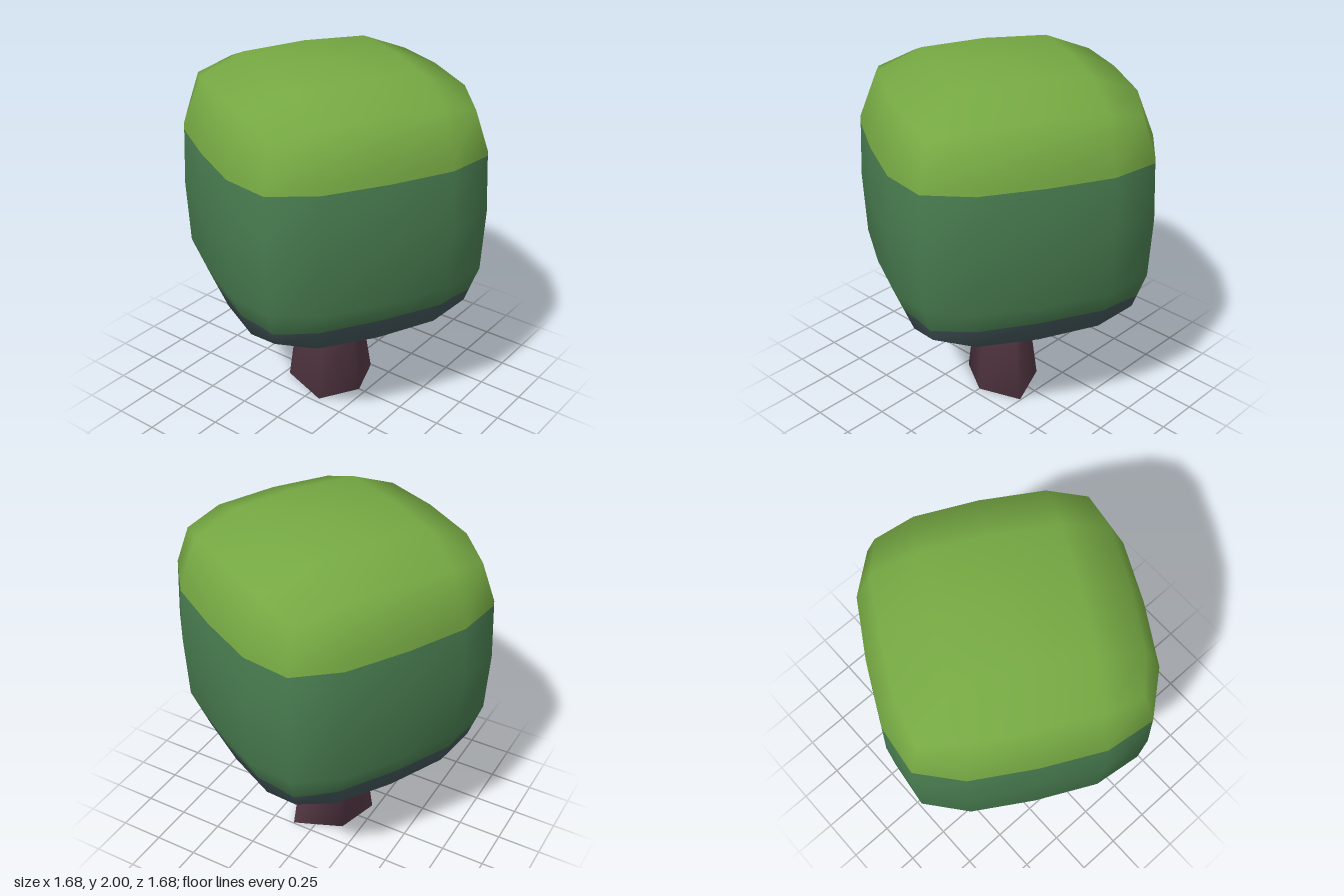
import * as THREE from 'three';
import { mergeVertices } from 'three/addons/utils/BufferGeometryUtils.js';

const lime = new THREE.MeshStandardMaterial({ name: 'lime leaves', color: 0x76a943 });
const green = new THREE.MeshStandardMaterial({ name: 'green leaves', color: 0x477a4e });
const slate = new THREE.MeshStandardMaterial({ name: 'shaded leaves', color: 0x43565a });
const bark = new THREE.MeshStandardMaterial({ name: 'bark', color: 0x573946 });

// Softly rounded cube with 4 x 4 faces per side, turned about the trunk
function crownGeometry() {
  let geo = new THREE.BoxGeometry(2, 2, 2, 4, 4, 4);
  geo.deleteAttribute('normal');
  geo.deleteAttribute('uv');
  geo = mergeVertices(geo);
  const pos = geo.attributes.position;
  for (let i = 0; i < pos.count; i++) {
    const p = [pos.getX(i), pos.getY(i), pos.getZ(i)];
    const outer = p.filter(c => Math.abs(c) > 0.9).length;
    const half = p.filter(c => Math.abs(Math.abs(c) - 0.5) < 0.1).length;
    const full = [0, 0.734 - 0.0145 * half, 0.618 - 0.012 * half, 0.553][outer];
    const mid = outer === 1 ? 0.367 - 0.007 * half : 0.34;
    const q = p.map(c => Math.sign(c) * (Math.abs(c) > 0.9 ? full : Math.abs(c) > 0.1 ? mid : 0));
    pos.setXYZ(i, q[0], Math.max(q[1], -0.71), q[2]); // flat underside
  }
  geo.rotateY(-29.2 * Math.PI / 180);
  geo.translate(0, 1.266, 0);
  geo.computeVertexNormals();
  return geo;
}

// Keep the side of a polygon where sign * (y - level) >= 0
function clip(poly, level, sign) {
  const out = [];
  poly.forEach((a, i) => {
    const b = poly[(i + 1) % poly.length];
    const da = sign * (a[1] - level), db = sign * (b[1] - level);
    if (da >= 0) out.push(a);
    if (da * db < 0) out.push(a.map((v, k) => v + (b[k] - v) * da / (da - db)));
  });
  return out;
}

// Horizontal slice of the crown, keeping its smooth normals
function band(geo, low, high) {
  const { position: p, normal: n } = geo.attributes;
  const pos = [], nor = [];
  const vertex = i => [p.getX(i), p.getY(i), p.getZ(i), n.getX(i), n.getY(i), n.getZ(i)];
  for (let t = 0; t < geo.index.count; t += 3) {
    const tri = [0, 1, 2].map(k => vertex(geo.index.getX(t + k)));
    const poly = clip(clip(tri, low, 1), high, -1);
    for (let k = 1; k + 1 < poly.length; k++) {
      for (const v of [poly[0], poly[k], poly[k + 1]]) {
        pos.push(...v.slice(0, 3));
        nor.push(...v.slice(3));
      }
    }
  }
  const out = new THREE.BufferGeometry();
  out.setAttribute('position', new THREE.Float32BufferAttribute(pos, 3));
  out.setAttribute('normal', new THREE.Float32BufferAttribute(nor, 3));
  return out;
}

// Five-sided tapering trunk, smooth across its base
function trunkGeometry() {
  const ring = [[-0.15, -0.13], [-0.22, 0.12], [0.08, 0.22], [0.21, 0], [0.12, -0.245]];
  const pos = [], idx = [], n = ring.length, top = 0.62;
  for (const [x, z] of ring) pos.push(x, 0, z);
  for (const [x, z] of ring) pos.push(x * 0.66, top, z * 0.64 + 0.01);
  for (let i = 0; i < n; i++) {
    const j = (i + 1) % n;
    idx.push(i, j, n + j, i, n + j, n + i);
    if (i > 0 && i < n - 1) idx.push(0, i + 1, i);
  }
  const geo = new THREE.BufferGeometry();
  geo.setAttribute('position', new THREE.Float32BufferAttribute(pos, 3));
  geo.setIndex(idx);
  geo.computeVertexNormals();
  return geo;
}

export function createModel() {
  const tree = new THREE.Group();
  tree.name = 'tree';
  const add = (name, geo, mat) => {
    const mesh = new THREE.Mesh(geo, mat);
    mesh.name = name;
    tree.add(mesh);
  };
  const crown = crownGeometry();
  add('crownTop', band(crown, 1.58, 3), lime);
  add('crownMiddle', band(crown, 0.785, 1.58), green);
  add('crownBottom', band(crown, 0, 0.785), slate);
  add('trunk', trunkGeometry(), bark);
  return tree;
}
